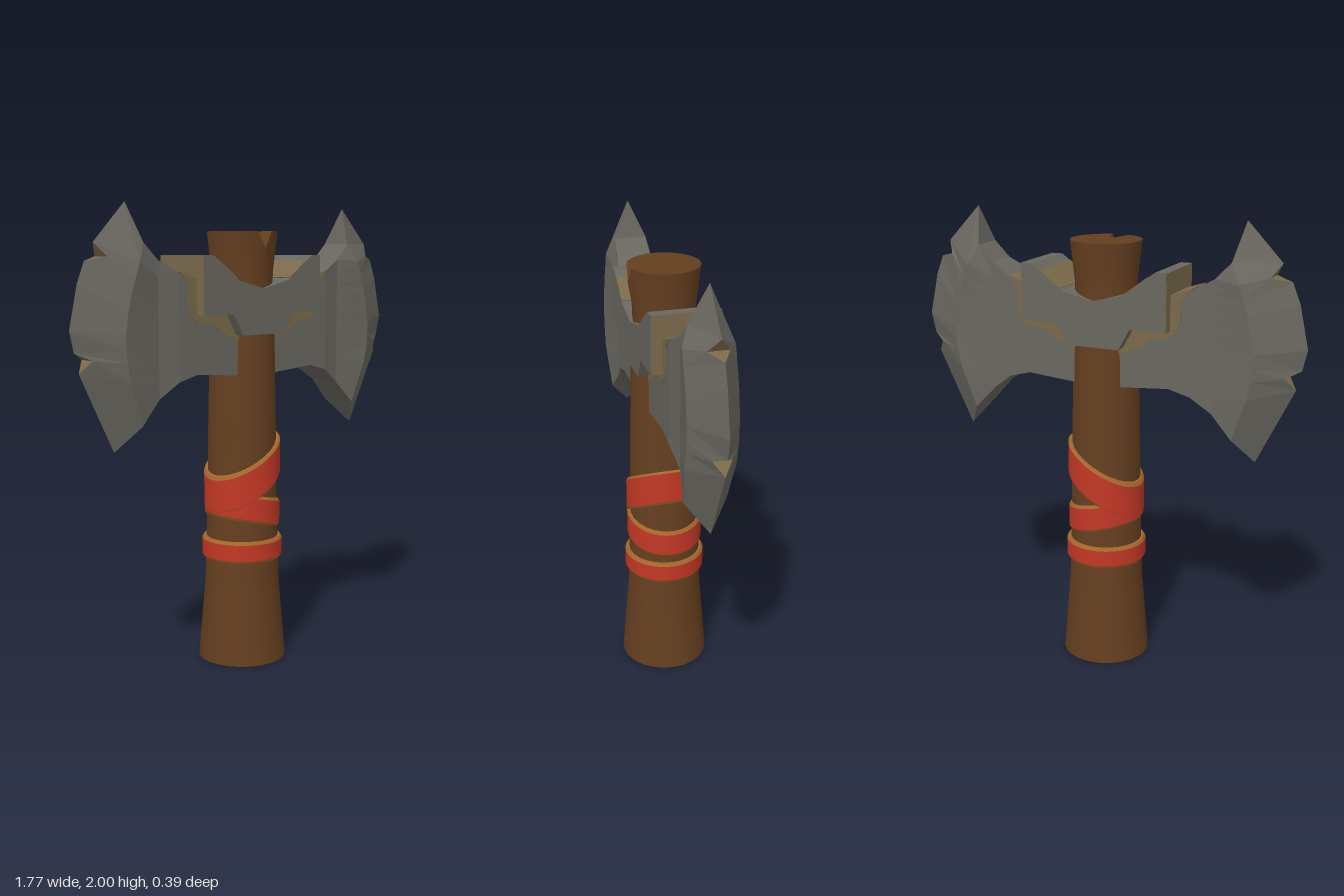
import * as THREE from 'three';
import { toCreasedNormals } from 'three/addons/utils/BufferGeometryUtils.js';

const mat = (name, color) => {
  const m = new THREE.MeshStandardMaterial({ color });
  m.name = name;
  return m;
};

export function createModel() {
  const steel = mat('steel', 0x69675f);
  const rust = mat('rust', 0x7b6a4a);
  const wood = mat('wood', 0x653f20);
  const red = mat('red cloth', 0xc43826);
  const trim = mat('cloth trim', 0xa5662c);

  const model = new THREE.Group();
  model.name = 'doubleAxe';
  const add = (parent, name, geometry, material) => {
    const mesh = new THREE.Mesh(geometry, material);
    mesh.name = name;
    parent.add(mesh);
    return mesh;
  };
  const lathe = (pts, segments) =>
    new THREE.LatheGeometry(pts.map(([r, y]) => new THREE.Vector2(r, y)), segments);
  const extrude = (pts, depth) => {
    const shape = new THREE.Shape(pts.map(([x, y]) => new THREE.Vector2(x, y)));
    return new THREE.ExtrudeGeometry(shape, { depth, bevelEnabled: false }).translate(0, 0, -depth / 2);
  };

  // Handle: flared at both ends, with a chip in the front of the top rim
  const handle = lathe([[0, 0], [0.195, 0], [0.165, 0.36], [0.155, 0.7], [0.15, 1.05], [0.143, 1.4],
    [0.132, 1.66], [0.134, 1.72], [0.153, 1.89], [0.1, 1.89], [0.05, 1.89], [0, 1.89]], 24);
  const hp = handle.attributes.position;
  for (let i = 0; i < hp.count; i++) {
    if (Math.abs(hp.getX(i)) < 0.001 && hp.getZ(i) > 0.08 && hp.getY(i) > 1.88) {
      hp.setY(i, hp.getZ(i) > 0.12 ? 1.82 : 1.84);
    }
  }
  add(model, 'handle', toCreasedNormals(handle, 0.6), wood);

  // Cloth wraps: sheared rings, red with trimmed edges
  const wrap = (name, r, y, half, slope) => {
    const group = new THREE.Group();
    group.name = name;
    const lip = 0.012;
    const ring = (part, pts, material) => {
      const g = lathe(pts, 32);
      const p = g.attributes.position;
      for (let i = 0; i < p.count; i++) p.setY(i, p.getY(i) + y + slope * p.getX(i));
      add(group, part, toCreasedNormals(g, 0.6), material);
    };
    ring('cloth', [[r, -half + lip], [r, half - lip]], red);
    ring('lowerTrim', [[r - 0.035, -half], [r - 0.008, -half], [r, -half + lip]], trim);
    ring('upperTrim', [[r, half - lip], [r - 0.008, half], [r - 0.035, half]], trim);
    model.add(group);
  };
  wrap('lowerWrap', 0.178, 0.507, 0.048, 0);
  wrap('middleWrap', 0.167, 0.685, 0.062, -0.22);
  wrap('upperWrap', 0.169, 0.847, 0.081, 0.57);

  // Blade cross-sections from the handle outwards, each listed top to bottom as [x, y, half thickness]
  const ridge = [[0.578, 1.84, 0.072], [0.62, 1.76, 0.104], [0.64, 1.7, 0.104], [0.66, 1.64, 0.104],
    [0.677, 1.57, 0.104], [0.69, 1.48, 0.104], [0.69, 1.42, 0.104], [0.685, 1.37, 0.104],
    [0.668, 1.29, 0.104], [0.605, 1.11, 0.09]];
  const edge = [[0.615, 2, 0], [0.768, 1.84, 0], [0.732, 1.785, 0.045], [0.81, 1.768, 0], [0.845, 1.68, 0],
    [0.885, 1.5, 0], [0.865, 1.412, 0], [0.805, 1.382, 0.04], [0.845, 1.33, 0], [0.685, 1, 0]];
  const rows = edge.length;
  const straight = (x, top, bottom, z) =>
    edge.map((_, i) => [x, top + (bottom - top) * i / (rows - 1), z]);
  const sections = [straight(0.08, 1.65, 1.28, 0.095), straight(0.325, 1.69, 1.3, 0.095),
    straight(0.42, 1.72, 1.275, 0.095), straight(0.51, 1.77, 1.21, 0.076), ridge, edge];

  const back = ([x, y, z]) => [x, y, -z];
  const faceted = (quads) => {
    const pos = quads.flatMap(([a, b, c, d]) => [a, b, c, a, c, d].flat());
    const g = new THREE.BufferGeometry();
    g.setAttribute('position', new THREE.Float32BufferAttribute(pos, 3));
    g.computeVertexNormals();
    return g;
  };
  const bladeQuads = [];
  for (let s = 0; s < sections.length - 1; s++) {
    const A = sections[s], B = sections[s + 1], n = rows - 1;
    for (let i = 0; i < n; i++) {
      const q = [A[i], A[i + 1], B[i + 1], B[i]];
      bladeQuads.push(q, q.map(back).reverse());
    }
    bladeQuads.push([A[0], B[0], back(B[0]), back(A[0])]);
    bladeQuads.push([back(A[n]), back(B[n]), B[n], A[n]]);
  }
  const bladeGeometry = faceted(bladeQuads);

  // Rusty cut faces inside the nicks of the cutting edge
  const nickQuads = [];
  for (let i = 0; i < rows - 1; i++) {
    if (edge[i][2] + edge[i + 1][2] > 0) {
      nickQuads.push([edge[i], edge[i + 1], back(edge[i + 1]), back(edge[i])]);
    }
  }
  const nickGeometry = faceted(nickQuads);

  // Rust film on the blade around the collar
  const stainGeometry = extrude([[0.1, 1.62], [0.2, 1.674], [0.325, 1.694], [0.415, 1.722], [0.375, 1.67],
    [0.375, 1.59], [0.355, 1.535], [0.32, 1.51], [0.25, 1.505], [0.2, 1.47], [0.14, 1.44], [0.1, 1.43]], 0.196);

  // Both halves of the head are the same, turned half way round
  ['left', 'right'].forEach((side, k) => {
    const half = new THREE.Group();
    half.name = side + 'Half';
    half.rotation.y = k * Math.PI;
    add(half, 'blade', bladeGeometry, steel);
    add(half, 'edgeNicks', nickGeometry, rust);
    add(half, 'bladeRust', stainGeometry, rust);
    add(half, 'collarEndRust', new THREE.BoxGeometry(0.004, 0.243, 0.288), rust).position.set(0.329, 1.667, 0);
    const slope = add(half, 'collarSlopeRust', new THREE.BoxGeometry(0.12, 0.006, 0.288), rust);
    slope.position.set(0.197, 1.728, 0);
    slope.rotation.z = Math.atan2(0.105, 0.14);
    model.add(half);
  });

  // Collar block clamping the blades to the handle
  const collarHalf = [[0.14, 1.685], [0.28, 1.79], [0.33, 1.79], [0.33, 1.545], [0.17, 1.545], [0.12, 1.455]];
  const mirrored = collarHalf.map(([x, y]) => [-x, y]).reverse();
  add(model, 'collar', extrude([[0, 1.65], ...collarHalf, ...mirrored], 0.29), steel);

  return model;
}
